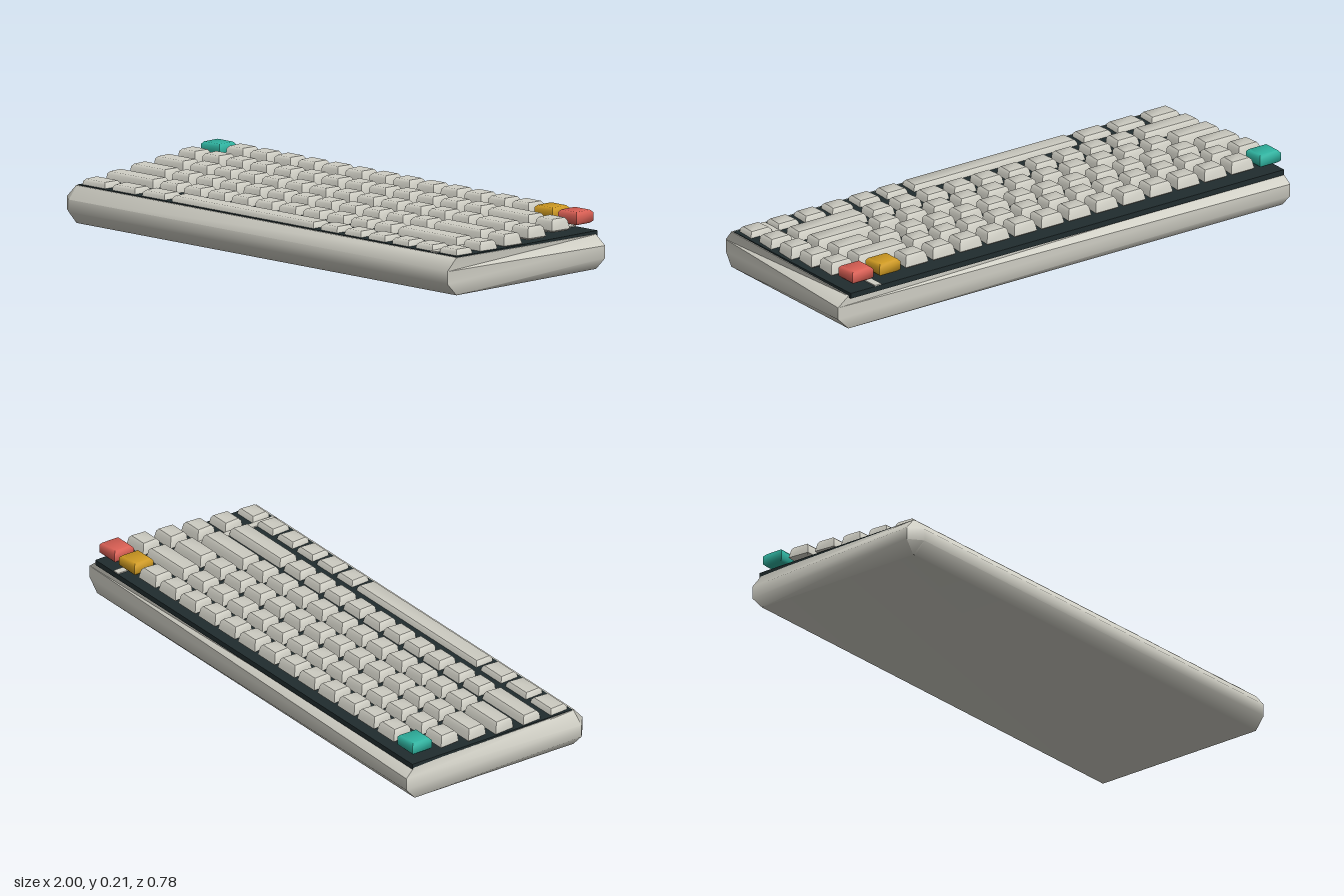
import * as THREE from 'three';
import { toCreasedNormals } from 'three/addons/utils/BufferGeometryUtils.js';

const mat = (name, color) => {
  const m = new THREE.MeshStandardMaterial({ color });
  m.name = name;
  return m;
};

// Closed solid from stacked rings of [x, y, z], counter-clockwise seen from above
function loft(rings, crease = 0.85) {
  const n = rings[0].length, index = [];
  const last = (rings.length - 1) * n;
  for (let r = 0; r < rings.length - 1; r++) {
    for (let i = 0; i < n; i++) {
      const a = r * n + i, b = r * n + (i + 1) % n;
      index.push(a, b, b + n, a, b + n, a + n);
    }
  }
  for (let i = 1; i < n - 1; i++) {
    index.push(0, i + 1, i, last, last + i, last + i + 1);
  }
  const g = new THREE.BufferGeometry();
  g.setAttribute('position', new THREE.Float32BufferAttribute(rings.flat(2), 3));
  g.setIndex(index);
  return toCreasedNormals(g.toNonIndexed(), crease);
}

// Four-cornered ring with separate front and back half-widths
const ring = (y, wFront, wBack, zFront, zBack) => [
  [-wFront, y, zFront], [wFront, y, zFront], [wBack, y, zBack], [-wBack, y, zBack],
];

// Sculpted keycap: narrower at the front, back face leaning forward
const keycap = (w) => loft([
  ring(0, w - 0.014, w - 0.008, 0.034, -0.034),
  ring(0.007, w - 0.007, w, 0.041, -0.041),
  ring(0.038, w - 0.010, w - 0.006, 0.038, -0.034),
  ring(0.047, w - 0.017, w - 0.013, 0.030, -0.028),
]);

// Evenly bevelled accent keycap
const accentCap = () => loft([
  ring(0, 0.038, 0.038, 0.034, -0.034),
  ring(0.008, 0.046, 0.046, 0.042, -0.042),
  ring(0.038, 0.046, 0.046, 0.042, -0.042),
  ring(0.047, 0.038, 0.038, 0.034, -0.034),
]);

export function createModel() {
  const grey = mat('warm grey', 0xcfcec4);
  const dark = mat('dark plate', 0x202c2e);
  const teal = mat('teal', 0x2fb3a0);
  const amber = mat('amber', 0xcf9a22);
  const red = mat('coral red', 0xd95f54);

  const model = new THREE.Group();
  model.name = 'keyboard';
  const add = (parent, name, geometry, material, x = 0, y = 0, z = 0) => {
    const mesh = new THREE.Mesh(geometry, material);
    mesh.name = name;
    mesh.position.set(x, y, z);
    parent.add(mesh);
  };

  // Case: chamfered tray with a slightly skewed waist
  const waist = [[-1, 0.35], [-0.95, 0.39], [0.95, 0.39], [1, -0.35], [-0.96, -0.39]];
  const foot = [[-0.958, 0.345], [-0.95, 0.35], [0.955, 0.35], [0.955, -0.35], [-0.955, -0.35]];
  const level = (points, y) => points.map(([x, z]) => [x, y, z]);
  const rim = foot.map(([x, z]) => [x, z > 0 ? 0.135 : 0.125, z]);
  add(model, 'case', loft([level(foot, 0), level(waist, 0.045), level(waist, 0.09), rim]), grey);

  // Switch plate and the divider beside the last column
  add(model, 'plate', new THREE.BoxGeometry(1.907, 0.02, 0.702), dark, -0.002, 0.127, -0.009);
  add(model, 'divider', new THREE.BoxGeometry(0.028, 0.012, 0.7), grey, 0.83, 0.135, -0.009);

  // Key rows from back to front, widths in key units
  const ones = (n) => Array(n).fill(1);
  const rows = [
    ones(16),
    [...ones(13), 2, 1],
    [1.5, ...ones(12), 1.5, 1],
    [1.75, ...ones(11), 2.25, 1],
    [2.25, ...ones(10), 2.75, 1],
    [1.25, 1.25, 1.25, 6.25, ...ones(6)],
  ];
  const unit = 0.1195;
  const accents = { 0: teal, 14: amber, 15: red };
  const caps = {};
  rows.forEach((widths, r) => {
    const row = new THREE.Group();
    row.name = `keyRow${r + 1}`;
    row.position.set(0, 0.164 - r * 0.0106, -0.31 + r * 0.12);
    let x = -0.96;
    widths.forEach((w, i) => {
      const cx = x + w * unit / 2;
      x += w * unit;
      if (r === 0 && accents[i]) {
        add(row, 'accentKey', accentCap(), accents[i], cx);
      } else {
        caps[w] ??= keycap(w * unit / 2 - 0.0095);
        add(row, w > 6 ? 'spaceBar' : 'key', caps[w], grey, cx);
      }
    });
    model.add(row);
  });
  return model;
}
